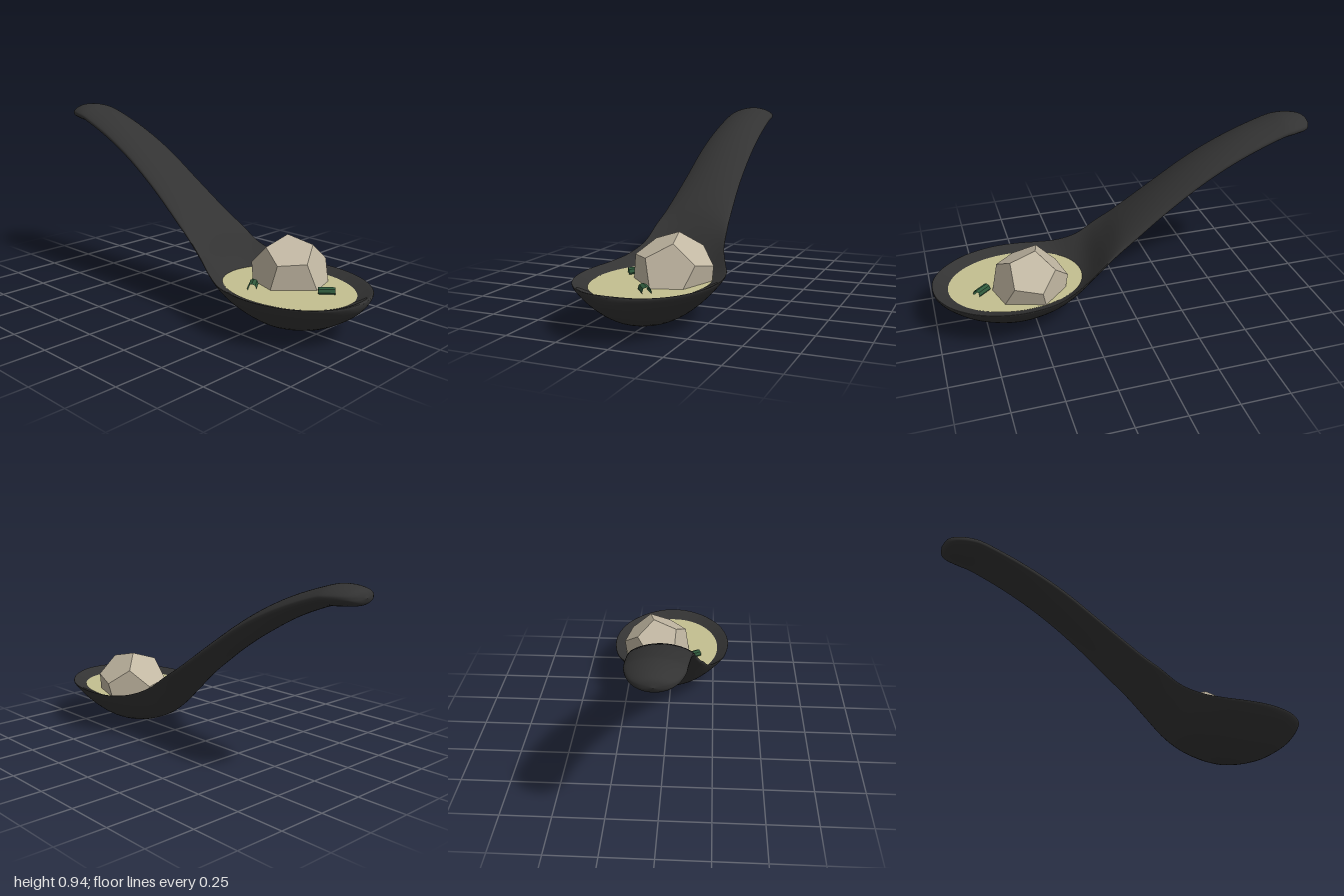
import * as THREE from 'three';
import { ConvexGeometry } from 'three/addons/geometries/ConvexGeometry.js';

const V = (x, y, z) => new THREE.Vector3(x, y, z);
const SOUP_Y = 0.195;

function addMesh(group, name, geometry, color, extra = {}) {
  const mesh = new THREE.Mesh(geometry, new THREE.MeshStandardMaterial({ color, ...extra }));
  mesh.name = name;
  group.add(mesh);
  return mesh;
}

// Spoon cross-sections from handle tip to bowl tip:
// x, half width, edge height, edge half thickness, top centre height, bottom centre height
const STATIONS = [
  [-1, 0, 0.89, 0, 0.89, 0.89],
  [-0.985, 0.06, 0.89, 0.02, 0.92, 0.862],
  [-0.95, 0.1, 0.892, 0.02, 0.935, 0.85],
  [-0.88, 0.125, 0.89, 0.02, 0.94, 0.842],
  [-0.8, 0.132, 0.875, 0.02, 0.925, 0.83],
  [-0.6, 0.14, 0.8, 0.02, 0.855, 0.75],
  [-0.4, 0.148, 0.7, 0.02, 0.755, 0.64],
  [-0.2, 0.157, 0.57, 0.02, 0.625, 0.515],
  [0, 0.178, 0.43, 0.02, 0.47, 0.37],
  [0.1, 0.195, 0.365, 0.018, 0.36, 0.28],
  [0.2, 0.215, 0.292, 0.014, 0.225, 0.18],
  [0.3, 0.258, 0.245, 0.012, 0.152, 0.09],
  [0.4, 0.302, 0.224, 0.012, 0.135, 0.04],
  [0.5, 0.326, 0.219, 0.012, 0.128, 0.012],
  [0.6, 0.333, 0.218, 0.012, 0.128, 0.003],
  [0.7, 0.32, 0.218, 0.012, 0.135, 0.018],
  [0.8, 0.285, 0.218, 0.012, 0.155, 0.05],
  [0.88, 0.233, 0.218, 0.012, 0.178, 0.093],
  [0.94, 0.172, 0.219, 0.012, 0.203, 0.135],
  [0.98, 0.102, 0.22, 0.011, 0.224, 0.175],
  [0.995, 0.05, 0.221, 0.009, 0.227, 0.2],
  [1, 0, 0.222, 0, 0.222, 0.222],
];

// Smooth loft through the stations
function spoonGeometry(rings = 126, sides = 64) {
  const curve = (a) => new THREE.CatmullRomCurve3(
    STATIONS.map((s) => V(s[a], s[a + 1], s[a + 2])), false, 'catmullrom', 0.5);
  const plan = curve(0), section = curve(3);
  const position = [], index = [];
  for (let i = 0; i <= rings; i++) {
    const { x, y: width, z: edge } = plan.getPoint(i / rings);
    const { x: lip, y: top, z: bottom } = section.getPoint(i / rings);
    for (let j = 0; j < sides; j++) {
      const angle = (j / sides) * Math.PI * 2;
      const s = Math.sin(angle), sign = Math.sign(s);
      const dish = (s > 0 ? top : bottom) - edge - sign * lip;
      const y = edge + sign * lip * Math.abs(s) ** 0.6 + dish * s * s;
      position.push(x, y, width * Math.cos(angle));
      if (i < rings) {
        const k = (j + 1) % sides;
        const a = i * sides + j, b = a + sides, c = i * sides + k, d = c + sides;
        index.push(a, b, c, b, d, c);
      }
    }
  }
  const geometry = new THREE.BufferGeometry();
  geometry.setAttribute('position', new THREE.Float32BufferAttribute(position, 3));
  geometry.setIndex(index);
  geometry.computeVertexNormals();
  return geometry;
}

// Orthonormal frame with one axis along a and a second in the plane of a and b
function frame(a, b) {
  const u = a.clone().normalize();
  const v = b.clone().addScaledVector(u, -b.dot(u)).normalize();
  return new THREE.Matrix4().makeBasis(u, v, u.clone().cross(v));
}

// Twelve-sided dumpling, cut off flat a little below the soup
function dumplingGeometry(radius, level) {
  const t = (1 + Math.sqrt(5)) / 2, r = 1 / t;
  const corners = [];
  for (const a of [-1, 1]) for (const b of [-1, 1]) {
    corners.push(V(a, b, -1), V(a, b, 1), V(0, a * r, b * t), V(a * r, b * t, 0), V(a * t, 0, b * r));
  }
  const turn = frame(V(-0.165, 0.982, -0.085), V(0.957, -0.205, -0.205))
    .multiply(frame(V(1, 1, 1), V(0, r, t)).transpose());
  const centre = V(0.517, 0.224, -0.083);
  for (const p of corners) p.applyMatrix4(turn).multiplyScalar(radius / Math.sqrt(3)).add(centre);

  const points = corners.filter((p) => p.y >= level);
  for (const p of corners) for (const q of corners) {
    if (p.y >= level && q.y < level && p.distanceTo(q) < radius * 0.75) {
      points.push(p.clone().lerp(q, (p.y - level) / (p.y - q.y)));
    }
  }
  return new ConvexGeometry(points);
}

export function createModel() {
  const model = new THREE.Group();
  model.name = 'soupSpoon';

  addMesh(model, 'spoon', spoonGeometry(), 0x333333);

  // Soup surface
  const soupShape = new THREE.CircleGeometry(1, 64).rotateX(-Math.PI / 2).scale(0.348, 1, 0.27);
  const soup = addMesh(model, 'soup', soupShape, 0xc4bf90, { side: THREE.DoubleSide });
  soup.position.set(0.575, SOUP_Y, 0);

  addMesh(model, 'dumpling', dumplingGeometry(0.195, SOUP_Y - 0.025), 0xc2b8a3, { flatShading: true });

  // Hollow chopped onion greens floating on their sides
  const green = new THREE.CylinderGeometry(0.022, 0.022, 0.08, 8, 1, true).rotateZ(Math.PI / 2);
  for (const [x, z, angle] of [[0.76, -0.055, 0.69], [0.465, 0.13, -0.98]]) {
    const piece = addMesh(model, 'choppedGreen', green, 0x2f5a3c, { side: THREE.DoubleSide, flatShading: true });
    piece.position.set(x, SOUP_Y + 0.008, z);
    piece.rotation.y = angle;
  }
  return model;
}
